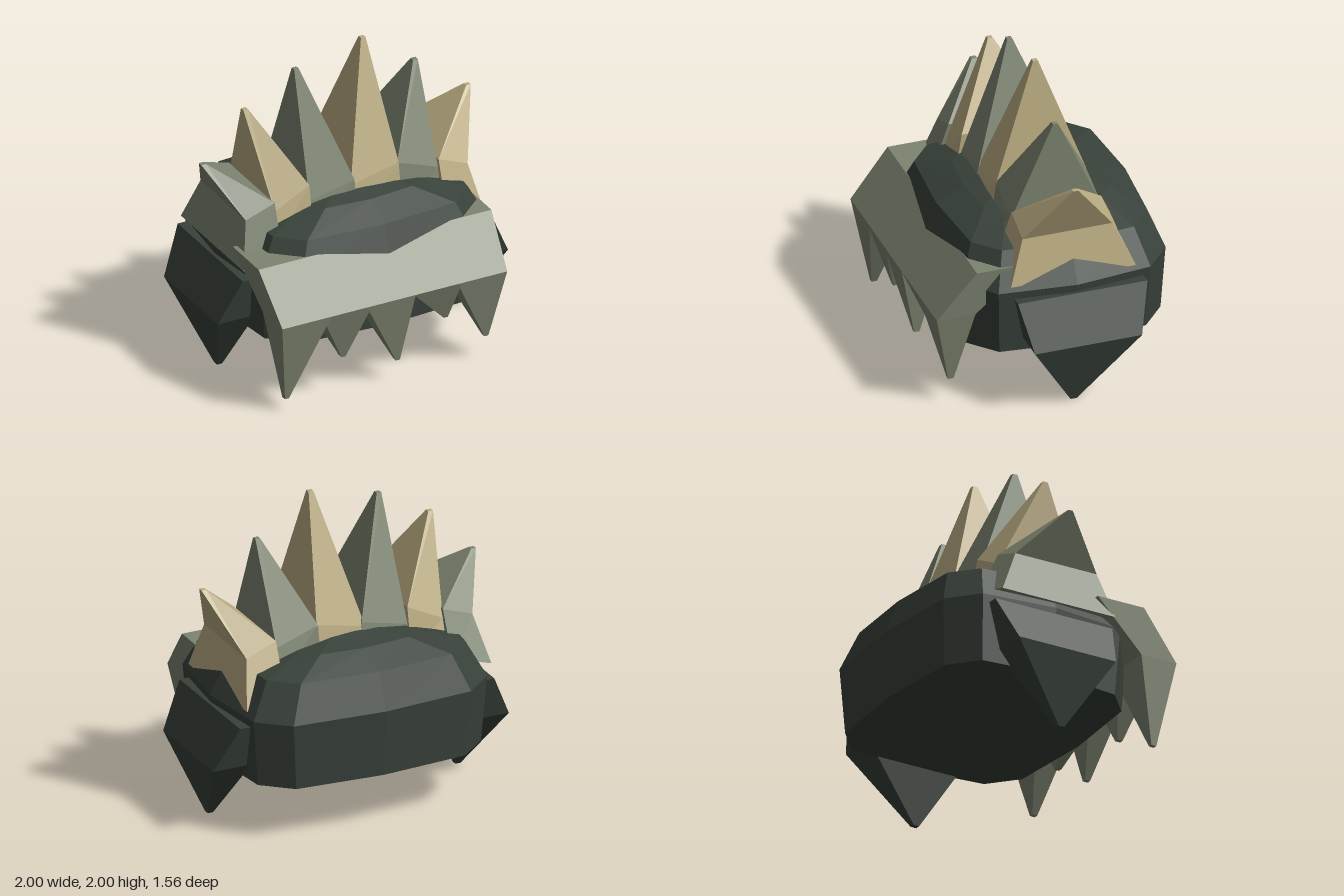
import * as THREE from 'three';

const mat = (name, color) => {
  const m = new THREE.MeshStandardMaterial({ color });
  m.name = name;
  return m;
};

// Flat-shaded loft through rings (bottom to top, counter-clockwise seen from above)
function loft(rings) {
  const pos = [];
  const tri = (a, b, c) => pos.push(...a, ...b, ...c);
  const n = rings[0].length;
  for (let k = 0; k < rings.length - 1; k++) {
    for (let i = 0; i < n; i++) {
      const j = (i + 1) % n, lo = rings[k], hi = rings[k + 1];
      tri(lo[i], lo[j], hi[j]);
      tri(lo[i], hi[j], hi[i]);
    }
  }
  const bottom = rings[0], top = rings[rings.length - 1];
  for (let i = 1; i < n - 1; i++) {
    tri(bottom[0], bottom[i + 1], bottom[i]);
    tri(top[0], top[i], top[i + 1]);
  }
  const g = new THREE.BufferGeometry();
  g.setAttribute('position', new THREE.Float32BufferAttribute(pos, 3));
  g.computeVertexNormals();
  return g;
}

// Four-cornered ring; its left and right sides may sit at different heights
const rect = (x0, x1, y0, y1, z0, z1) =>
  [[x0, y0, z1], [x1, y1, z1], [x1, y1, z0], [x0, y0, z0]];

export function createModel() {
  const group = new THREE.Group();
  const dark = mat('dark green', 0x38413a);
  const green = mat('grey green', 0x7d8470);
  const tan = mat('tan', 0xbbac82);
  const add = (name, geometry, material) => {
    const mesh = new THREE.Mesh(geometry, material);
    mesh.name = name;
    group.add(mesh);
  };

  // Body: twelve-sided domed block
  const quarter = [[0, 0.7], [0.6, 0.655], [0.79, 0.49], [0.845, 0]];
  const right = [...quarter, ...quarter.slice(0, 3).reverse().map(([x, z]) => [x, -z])];
  const outline = [...right, ...right.slice(1, -1).reverse().map(([x, z]) => [-x, z])];
  const bodyRing = (y, sx, sz) => outline.map(([x, z]) => [x * sx, y, z * sz - 0.08]);
  add('body', loft([
    bodyRing(0.36, 0.955, 0.965),
    bodyRing(0.79, 1, 1),
    bodyRing(1.02, 0.85, 0.87),
    bodyRing(1.11, 0.5, 0.62),
    bodyRing(1.16, 0.2, 0.36),
  ]), dark);

  // Side fangs, mirrored
  for (const s of [1, -1]) {
    const ring = (a, b, y, z0, z1) =>
      rect(Math.min(s * a, s * b), Math.max(s * a, s * b), y, y, z0, z1);
    add(s > 0 ? 'leftSideFang' : 'rightSideFang', loft([
      ring(0.82, 0.855, 0, -0.07, -0.03),
      ring(0.74, 1, 0.45, -0.44, 0.25),
      ring(0.6, 0.86, 0.74, -0.525, 0.31),
    ]), dark);
  }

  // Crest spikes: tip x, tip y, left x, left y, right x, right y
  const spikes = [
    [-0.945, 1.405, -0.8, 1.11, -0.6, 1.18],
    [-0.655, 1.71, -0.6, 1.12, -0.36, 1.24],
    [-0.305, 1.9, -0.36, 1.13, -0.05, 1.2],
    [0.155, 2, -0.075, 1.17, 0.255, 1.24],
    [0.515, 1.755, 0.245, 1.24, 0.525, 1.14],
    [0.88, 1.485, 0.53, 1.19, 0.73, 1.11],
  ];
  spikes.forEach(([tx, ty, xl, yl, xr, yr], i) => {
    let base = rect(xl, xr, 0.95, 0.95, -0.4, 0.28);
    if (i === 0) base = rect(-0.865, -0.6, 0.82, 0.9, -0.475, 0.33);
    if (i === 5) base = rect(0.53, 0.79, 0.9, 0.82, -0.475, 0.33);
    add('crestSpike' + (i + 1), loft([
      base,
      rect(xl, xr, yl, yr, -0.345, 0.235),
      rect(tx - 0.016, tx + 0.016, ty, ty, -0.066, -0.034),
    ]), i % 2 ? tan : green);
  });

  // Fringe: sloping slab over the front
  add('fringe', loft([
    rect(-0.84, 0.71, 0.63, 0.63, 0.53, 0.78),
    rect(-0.87, 0.735, 0.93, 0.93, 0.2, 0.53),
  ]), green);

  // Fringe teeth: left x, right x, tip x, tip y
  const teeth = [
    [-0.84, -0.5, -0.755, 0.08],
    [-0.56, -0.22, -0.365, 0.27],
    [-0.255, 0.08, 0.01, 0.15],
    [0.07, 0.4, 0.34, 0.36],
    [0.37, 0.71, 0.62, 0.16],
  ];
  teeth.forEach(([x0, x1, tx, ty], i) => add('fringeTooth' + (i + 1), loft([
    rect(tx - 0.014, tx + 0.014, ty, ty, 0.645, 0.68),
    rect(x0, x1, 0.63, 0.63, 0.53, 0.78),
  ]), green));

  return group;
}
